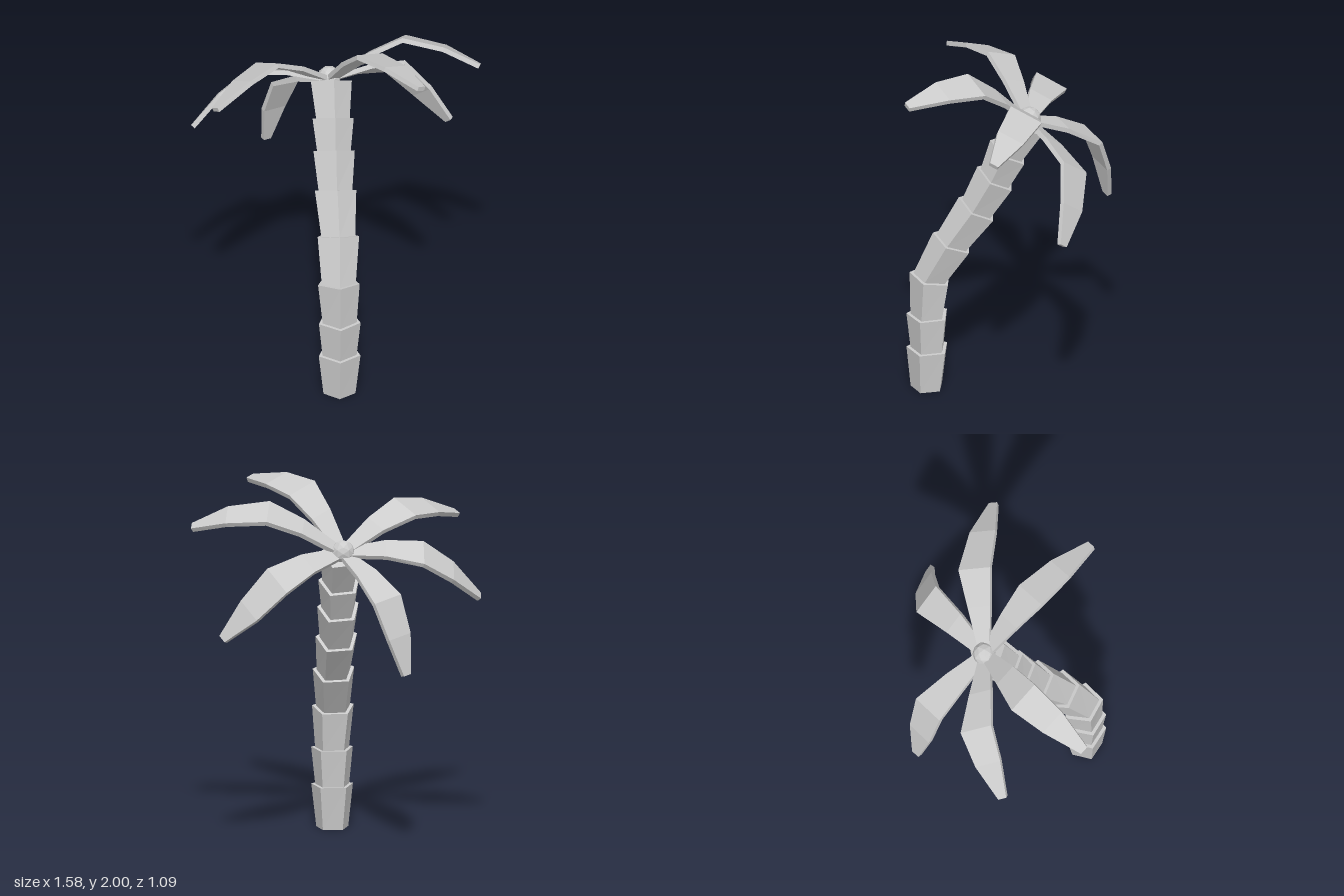
import * as THREE from 'three';

const V = (x, y, z) => new THREE.Vector3(x, y, z);
const material = new THREE.MeshStandardMaterial({ color: 0xcccccc, flatShading: true });

// Closed solid through rings of equal size, each counterclockwise about the path
function loft(rings) {
  const n = rings[0].length, last = (rings.length - 1) * n, index = [];
  for (let i = 0; i < last; i += n) {
    for (let j = 0; j < n; j++) {
      const k = (j + 1) % n;
      index.push(i + j, i + k, i + n + k, i + j, i + n + k, i + n + j);
    }
  }
  for (let j = 1; j < n - 1; j++) index.push(0, j + 1, j, last, last + j, last + j + 1);
  const indexed = new THREE.BufferGeometry().setFromPoints(rings.flat());
  indexed.setIndex(index);
  const geometry = indexed.toNonIndexed();
  geometry.computeVertexNormals();
  return geometry;
}

function addMesh(parent, name, geometry) {
  const mesh = new THREE.Mesh(geometry, material);
  mesh.name = name;
  parent.add(mesh);
  return mesh;
}

// Trunk joints: x, y, z, backward tilt in degrees
const JOINTS = [
  [0.005, 0, 0.43, 0],
  [0.005, 0.24, 0.425, 0],
  [0.005, 0.445, 0.425, 0],
  [0, 0.675, 0.41, 11],
  [0, 0.9, 0.29, 24],
  [-0.012, 1.11, 0.155, 30],
  [-0.018, 1.3, 0.055, 31],
  [-0.022, 1.465, -0.015, 32],
  [-0.03, 1.645, -0.11, 33],
];

// Five-sided ring at a trunk joint, twisting slightly with height
function trunkRing(i, radius) {
  const [x, y, z, tilt] = JOINTS[i];
  const turn = new THREE.Euler(-THREE.MathUtils.degToRad(tilt), 0, 0);
  return Array.from({ length: 5 }, (_, j) => {
    const a = (j / 5) * Math.PI * 2 + i * 0.02;
    return V(Math.sin(a) * radius, 0, Math.cos(a) * radius).applyEuler(turn).add(V(x, y, z));
  });
}

// Fronds: bend, middle and tip of the centre line, then the direction across the blade
const CROWN = V(-0.035, 1.665, -0.125);
const FRONDS = {
  leftFrond: [V(0.375, 1.895, -0.155), V(0.6, 1.865, -0.095), V(0.79, 1.79, -0.025), V(0.02, -0.07, -0.15)],
  frontLeftFrond: [V(0.18, 1.96, 0.14), V(0.315, 1.98, 0.31), V(0.455, 1.955, 0.49), V(0.15, -0.06, -0.12)],
  frontRightFrond: [V(-0.38, 1.87, 0.065), V(-0.525, 1.845, 0.215), V(-0.675, 1.775, 0.38), V(0.13, 0.08, 0.15)],
  rightFrond: [V(-0.475, 1.67, -0.2), V(-0.64, 1.555, -0.145), V(-0.79, 1.4, -0.075), V(0, 0.1, 0.18)],
  backRightFrond: [V(-0.27, 1.465, -0.45), V(-0.335, 1.265, -0.5), V(-0.375, 1.055, -0.525), V(0.16, -0.03, -0.13)],
  backLeftFrond: [V(0.335, 1.565, -0.42), V(0.49, 1.4, -0.425), V(0.635, 1.235, -0.39), V(0.11, 0.12, 0.12)],
};
const WIDTHS = [0.07, 0.135, 0.19, 0.155, 0.05];
const THICKNESS = 0.026;

function frondGeometry([bend, middle, tip, across]) {
  const base = CROWN.clone().lerp(bend, 0.06);
  const rise = base.clone().lerp(bend, 0.5).add(V(0, 0.02, 0));
  const line = [base, rise, bend, middle, tip];
  const side = across.clone().normalize();
  if (side.clone().cross(tip.clone().sub(base)).y < 0) side.negate();
  return loft(line.map((p, i) => {
    const along = line[Math.min(i + 1, 4)].clone().sub(line[Math.max(i - 1, 0)]);
    const normal = side.clone().cross(along).normalize();
    const corner = (s, d) => p.clone().addScaledVector(side, s * WIDTHS[i] / 2).addScaledVector(normal, -d);
    return [corner(-1, 0), corner(1, 0), corner(1, THICKNESS), corner(-1, THICKNESS)];
  }));
}

export function createModel() {
  const model = new THREE.Group();
  model.name = 'palmTree';

  // Stacked trunk segments, each flaring toward its top
  const trunk = new THREE.Group();
  trunk.name = 'trunk';
  for (let i = 0; i < JOINTS.length - 1; i++) {
    addMesh(trunk, `trunkSegment${i + 1}`, loft([trunkRing(i, i ? 0.098 : 0.092), trunkRing(i + 1, 0.12)]));
  }
  model.add(trunk);

  // Crown of drooping fronds
  const crown = new THREE.Group();
  crown.name = 'fronds';
  for (const [name, frond] of Object.entries(FRONDS)) addMesh(crown, name, frondGeometry(frond));
  model.add(crown);

  // Round bud in the middle of the crown
  addMesh(model, 'crownBud', new THREE.IcosahedronGeometry(0.065, 1)).position.set(-0.035, 1.66, -0.125);

  return model;
}
